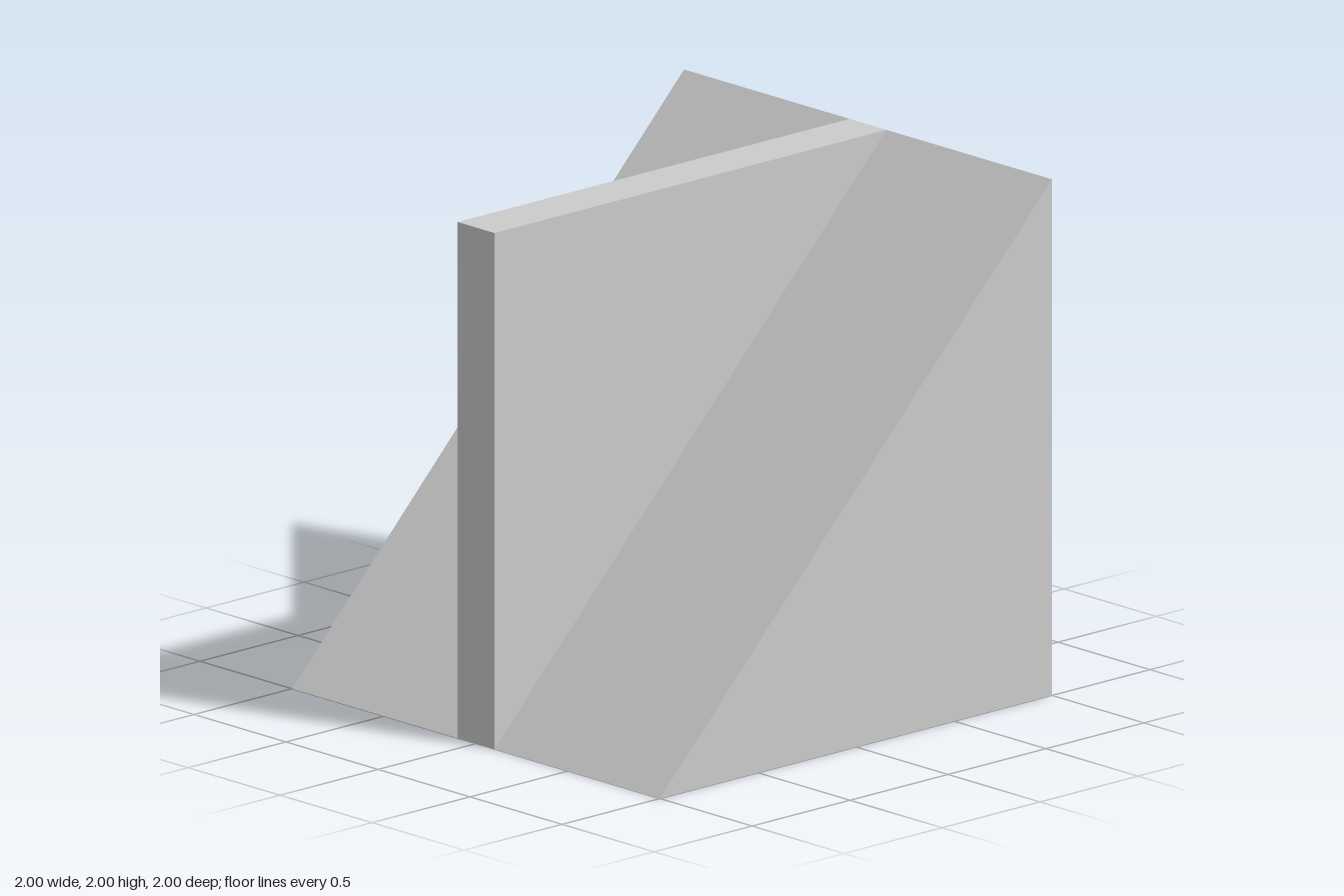
import * as THREE from 'three';

const material = new THREE.MeshStandardMaterial({ color: 0xcccccc, flatShading: true });

// Triangular prism from an x/y outline, centred on z = 0
function prism(name, corners, depth) {
  const shape = new THREE.Shape(corners.map(([x, y]) => new THREE.Vector2(x, y)));
  const geometry = new THREE.ExtrudeGeometry(shape, { depth, bevelEnabled: false });
  geometry.translate(0, 0, -depth / 2);
  const mesh = new THREE.Mesh(geometry, material);
  mesh.name = name;
  return mesh;
}

export function createModel() {
  const model = new THREE.Group();
  model.name = 'rampWithDivider';

  // Solid ramp rising towards +x
  model.add(prism('ramp', [[-1, 0], [1, 0], [1, 2]], 2));

  // Thin upright wall standing on the slope, filling the other half of the square
  model.add(prism('dividerWall', [[-1, 0], [1, 2], [-1, 2]], 0.2));

  return model;
}
